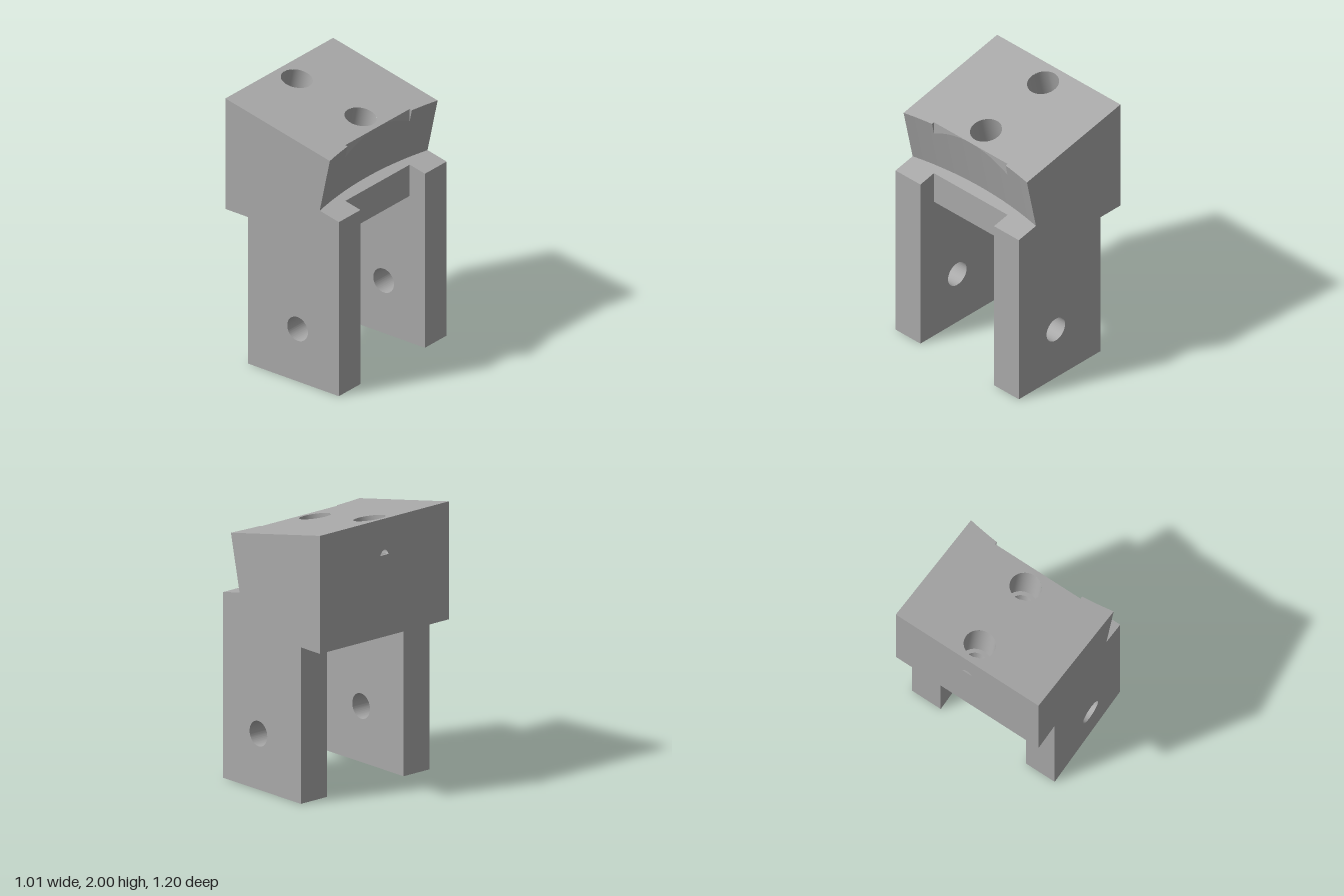
import * as THREE from 'three';
import { toCreasedNormals } from 'three/addons/utils/BufferGeometryUtils.js';

const SLOPE = 0.2097, TILT = Math.atan(SLOPE), COS = Math.cos(TILT), SIN = Math.sin(TILT);
const BACK = -0.505, TOP = 2, HALF = 0.6, INNER = 0.358, CUT = 0.37, UNDER = 1.14;
const HOLES_X = [-0.349, 0.218], BORE = 0.113;
const floorY = x => 1.39 - SLOPE * (x - 0.335);
const topY = x => TOP - SLOPE * (x - BACK);

// Profile of the head at depth z: underside, throat, shelf, hollow face, top edge
function section(z, clipped) {
  const sag = (HALF * HALF - z * z) / 6.4;
  const dx = 0.335 - sag * COS, fx = 0.425 - sag * COS;
  const t = Math.min(1, (CUT - dx) / (fx - dx));
  const tipX = clipped ? Math.min(fx, CUT) : fx;
  const dy = floorY(dx);
  return [
    [BACK, UNDER], [CUT, UNDER], [CUT, floorY(CUT)], [dx, dy],
    [dx + (fx - dx) * t, dy + (topY(fx) - dy) * t], [tipX, topY(tipX)],
  ].map(([x, y]) => new THREE.Vector3(x, y, z));
}

function headSections() {
  const list = [];
  const run = (from, to, n, clipped) => {
    for (let i = 0; i <= n; i++) list.push(section(from + (to - from) * i / n, clipped));
  };
  run(-HALF, -INNER, 8, false);
  run(-INNER, INNER, 24, true);
  run(INNER, HALF, 8, false);
  return list;
}

// Skin joining neighbouring sections
function skin(sections) {
  const pts = [];
  for (let k = 0; k < sections.length - 1; k++) {
    const a = sections[k], b = sections[k + 1];
    for (let i = 0; i < a.length - 1; i++) {
      pts.push(a[i], a[i + 1], b[i + 1], a[i], b[i + 1], b[i]);
    }
  }
  const geo = new THREE.BufferGeometry().setFromPoints(pts);
  geo.computeVertexNormals();
  return geo;
}

const shapeOf = pts => new THREE.Shape(pts.map(([x, y]) => new THREE.Vector2(x, y)));
const circle = (x, y, r) => new THREE.Path().absarc(x, y, r, 0, Math.PI * 2, true);

export function createModel() {
  const group = new THREE.Group();
  const grey = new THREE.MeshStandardMaterial({ color: 0xaaaaaa });
  grey.name = 'plain grey';
  const add = (name, geo, parent = group) => {
    const mesh = new THREE.Mesh(geo, grey);
    mesh.name = name;
    parent.add(mesh);
  };

  // Two fork legs with a pin hole
  const leg = shapeOf([[-0.305, 0], [0.505, 0], [0.505, floorY(0.505)],
    [CUT, floorY(CUT)], [CUT, UNDER], [-0.305, UNDER]]);
  leg.holes.push(circle(0.138, 0.408, 0.092));
  const legGeo = toCreasedNormals(new THREE.ExtrudeGeometry(leg,
    { depth: HALF - INNER, bevelEnabled: false, curveSegments: 48 }), 0.6);
  add('frontLeg', legGeo.clone().translate(0, 0, INNER));
  add('backLeg', legGeo.clone().translate(0, 0, -HALF));

  const head = new THREE.Group();
  head.name = 'head';
  group.add(head);

  // Underside, throat, shelf and hollow face
  const sections = headSections();
  add('headSkin', skin(sections), head);

  // Flat sides of the head
  for (const side of [1, -1]) {
    const pts = sections[0].map(p => [p.x * side, p.y]);
    pts.push([BACK * side, TOP]);
    const geo = new THREE.ShapeGeometry(shapeOf(pts));
    if (side < 0) geo.rotateY(Math.PI);
    add(side > 0 ? 'headFrontSide' : 'headBackSide', geo.translate(0, 0, side * HALF), head);
  }

  // Sloping top with two bolt openings
  const along = x => (x - BACK) / COS;
  const top = shapeOf([[0, -HALF], ...sections.map(s => [along(s[5].x), s[5].z]), [0, HALF]]);
  HOLES_X.forEach(x => top.holes.push(circle(along(x), 0, BORE)));
  add('headTop', new THREE.ShapeGeometry(top, 48)
    .rotateX(-Math.PI / 2).rotateZ(-TILT).translate(BACK, TOP, 0), head);

  // Upright rear wall, with a slit where a bolt hole breaks through
  const rear = shapeOf([[-HALF, UNDER], [HALF, UNDER], [HALF, TOP], [-HALF, TOP]]);
  const slit = new THREE.Path();
  slit.moveTo(-0.04, 1.735);
  slit.quadraticCurveTo(0, 1.812, 0.04, 1.735);
  slit.lineTo(-0.04, 1.735);
  rear.holes.push(slit);
  add('rearWall', new THREE.ShapeGeometry(rear)
    .rotateY(-Math.PI / 2).translate(BACK, 0, 0), head);

  // Stepped bolt holes, square to the sloping top
  const steps = [[BORE, 0], [BORE, -0.26], [0.081, -0.26], [0.081, -0.322], [0, -0.322]]
    .map(([r, y]) => new THREE.Vector2(r, y));
  HOLES_X.forEach((x, i) => {
    const geo = new THREE.LatheGeometry(steps, 48).rotateZ(-TILT).translate(x, topY(x), 0);
    const pos = geo.attributes.position;
    for (let k = 0; k < pos.count; k++) pos.setX(k, Math.max(pos.getX(k), BACK));
    add(i ? 'innerBoltHole' : 'rearBoltHole', toCreasedNormals(geo, 0.6), head);
  });

  return group;
}
